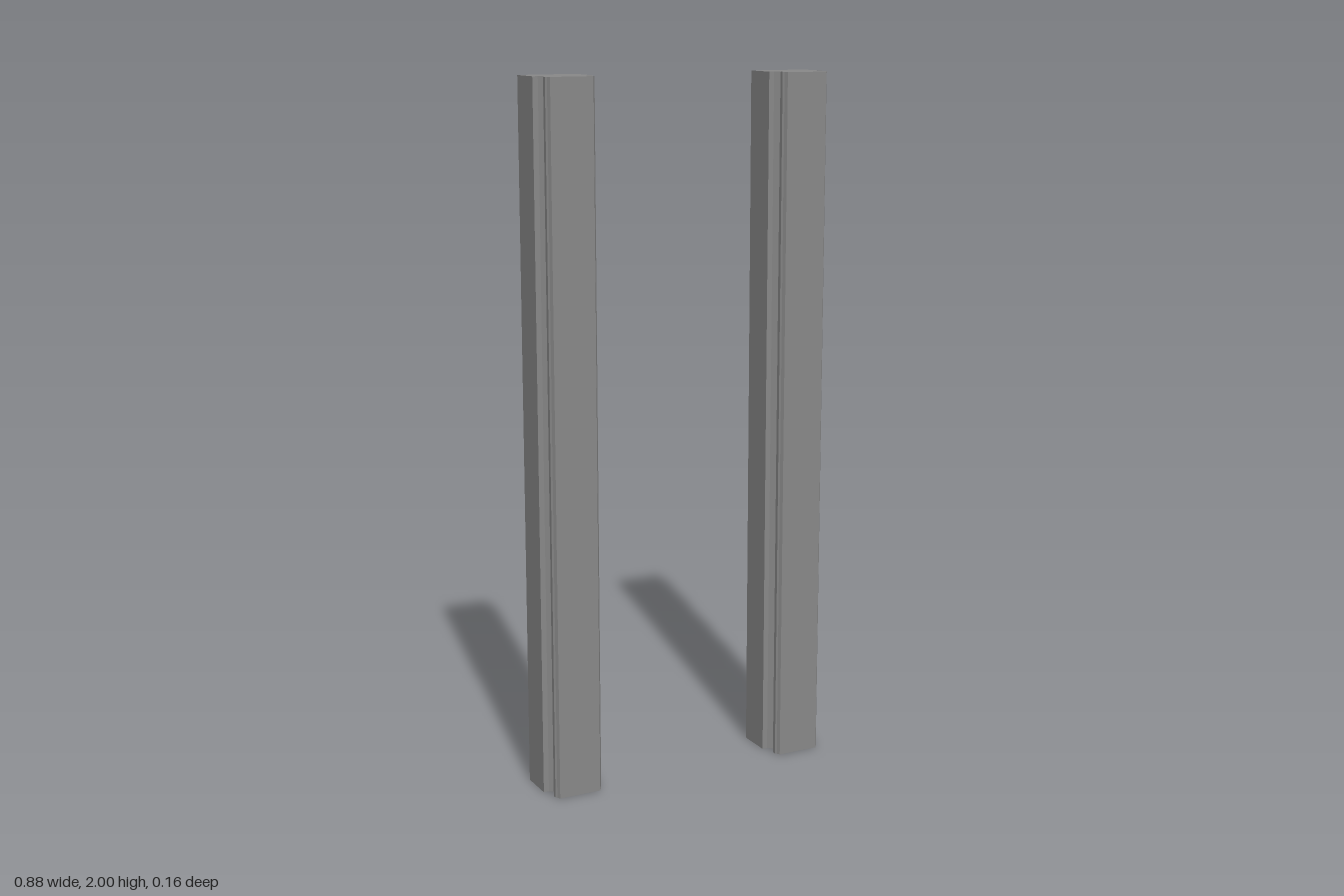
import * as THREE from 'three';

const HEIGHT = 2;
const RAIL_X = 0.3565;

// Half of the rail's cross-section as [half width, z], from back to front
const HALF_PROFILE = [
  [0.0855, -0.082], // flat back
  [0.0855, 0.02], // shoulder
  [0.07, 0.02],
  [0.056, 0.033], // groove floor
  [0.056, 0.042],
  [0.062, 0.051],
  [0.071, 0.057], // head
  [0.071, 0.069],
  [0.067, 0.073],
  [0.062, 0.082], // flat front
];

function railGeometry() {
  const right = HALF_PROFILE.map(([x, z]) => new THREE.Vector2(x, -z));
  const left = HALF_PROFILE.map(([x, z]) => new THREE.Vector2(-x, -z)).reverse();
  const shape = new THREE.Shape([...right, ...left]);
  const geometry = new THREE.ExtrudeGeometry(shape, { depth: HEIGHT, bevelEnabled: false });
  return geometry.rotateX(-Math.PI / 2); // stand it upright
}

export function createModel() {
  const model = new THREE.Group();
  model.name = 'guideRails';
  const material = new THREE.MeshStandardMaterial({ color: 0x888888, flatShading: true });
  const geometry = railGeometry();

  // A matching pair of grooved rails
  for (const [name, side] of [['leftRail', 1], ['rightRail', -1]]) {
    const rail = new THREE.Mesh(geometry, material);
    rail.name = name;
    rail.position.x = side * RAIL_X;
    model.add(rail);
  }
  return model;
}
